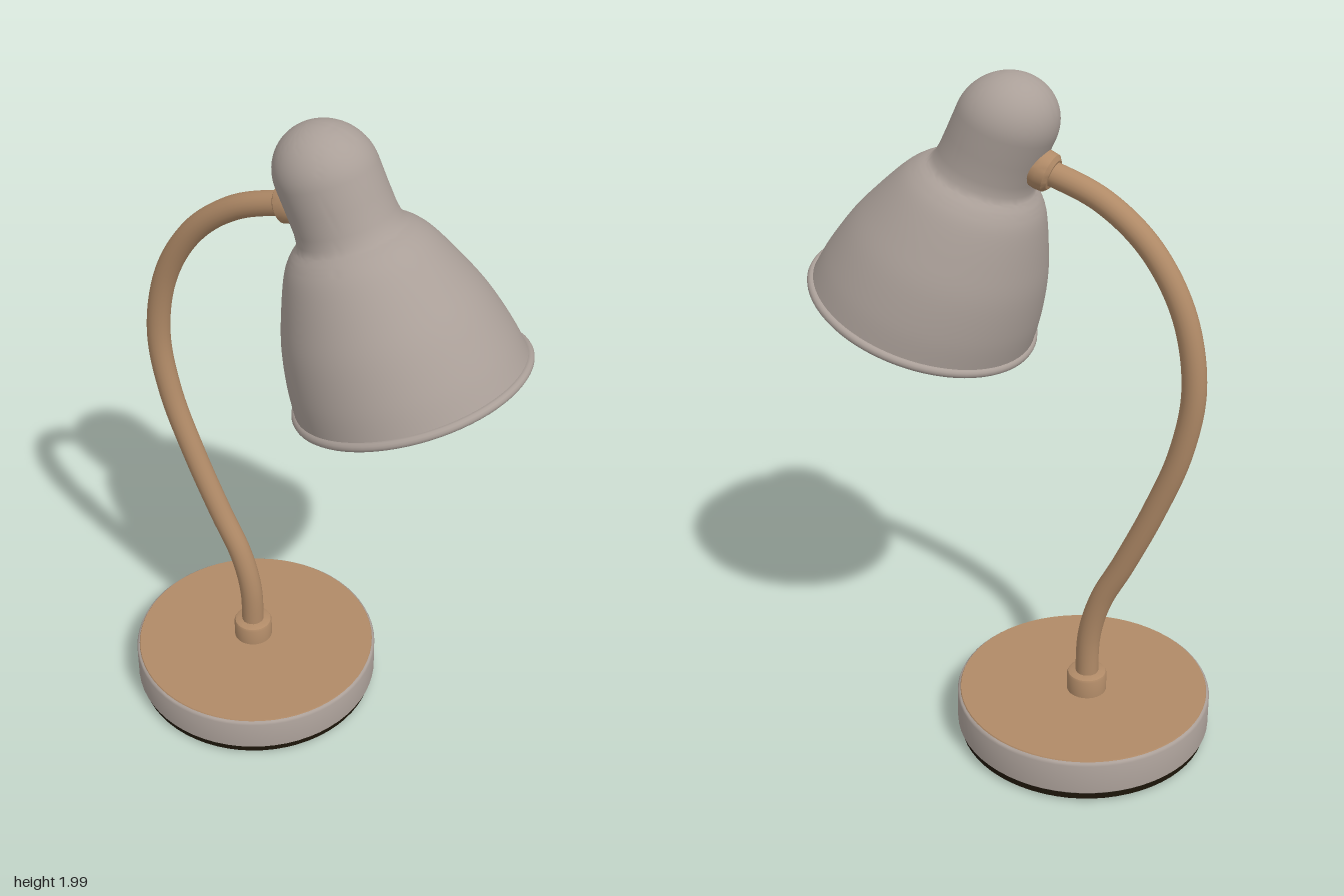
import * as THREE from 'three';
import { toCreasedNormals } from 'three/addons/utils/BufferGeometryUtils.js';

const paint = (name, color, side = THREE.FrontSide) => {
  const m = new THREE.MeshStandardMaterial({ color, side });
  m.name = name;
  return m;
};
const v2 = (pts) => pts.map(([x, y]) => new THREE.Vector2(x, y));

export function createModel() {
  const grey = paint('warm grey', 0xaa9f98, THREE.DoubleSide);
  const copper = paint('copper tan', 0xb08a67);
  const gold = paint('pale gold', 0xdebb8b, THREE.DoubleSide);
  const white = paint('bulb white', 0xd3d0cb);
  const black = paint('dark foot', 0x1c1509);

  const lamp = new THREE.Group();
  lamp.name = 'deskLamp';
  const add = (parent, name, geometry, material, x = 0, y = 0, z = 0) => {
    const mesh = new THREE.Mesh(geometry, material);
    mesh.name = name;
    mesh.position.set(x, y, z);
    parent.add(mesh);
    return mesh;
  };
  const lathe = (pts, seg = 64) => toCreasedNormals(new THREE.LatheGeometry(v2(pts), seg), 0.7);

  // Base: dark foot, grey rim, tan top plate
  const base = new THREE.Group();
  base.name = 'base';
  base.position.set(-0.225, 0, 0);
  lamp.add(base);
  add(base, 'foot', lathe([[0, 0], [0.36, 0], [0.369, 0.008], [0.369, 0.032], [0, 0.032]]), black);
  add(base, 'baseRim', lathe([[0.3, 0.028], [0.371, 0.028], [0.378, 0.035], [0.378, 0.128],
    [0.375, 0.135], [0.368, 0.139], [0.3, 0.139]]), grey);
  add(base, 'baseTop', lathe([[0.371, 0.136], [0.368, 0.141], [0, 0.141]]), copper);

  // Stem collar and curved arm
  const collar = [[0.059, 0], [0.059, 0.055], [0.056, 0.062], [0.048, 0.066], [0, 0.066]];
  add(lamp, 'stemCollar', lathe(collar, 32), copper, -0.24, 0.139, -0.01);
  const path = new THREE.CatmullRomCurve3([
    [-0.24, 0.15], [-0.245, 0.33], [-0.278, 0.46], [-0.345, 0.6], [-0.432, 0.8], [-0.502, 1.0],
    [-0.53, 1.2], [-0.49, 1.41], [-0.39, 1.577], [-0.257, 1.683], [-0.12, 1.734], [-0.03, 1.755],
  ].map(([x, y]) => new THREE.Vector3(x, y, -0.01)));
  add(lamp, 'arm', new THREE.TubeGeometry(path, 96, 0.034, 20), copper);

  // Ferrule joining arm to the shade neck
  const ferrule = add(lamp, 'ferrule', lathe([[0, -0.032], [0.042, -0.032], [0.053, -0.022],
    [0.055, 0], [0.053, 0.02], [0.046, 0.035], [0.04, 0.06], [0, 0.06]], 32), copper, -0.085, 1.744, -0.01);
  ferrule.rotation.z = -Math.PI / 2 + 0.33;

  // Head: origin at the rim centre, local y runs up the shade
  const head = new THREE.Group();
  head.name = 'head';
  head.position.set(0.28, 1.298, -0.01);
  head.rotation.z = 0.337;
  lamp.add(head);

  // The shade leans slightly against its rim plane
  const lean = new THREE.Matrix4().set(1, -0.095, 0, 0, 0, 1, 0, 0, 0, 0, 1, 0, 0, 0, 0, 1);
  const bell = new THREE.SplineCurve(v2([[0.324, 0], [0.312, 0.09], [0.285, 0.2], [0.25, 0.29],
    [0.208, 0.38], [0.178, 0.422], [0.15, 0.446]])).getPoints(36).map((p) => [p.x, p.y]);
  const dome = [];
  for (let i = 0; i <= 16; i++) {
    const a = (i / 16) * Math.PI / 2;
    dome.push([0.137 * Math.cos(a), 0.618 + 0.135 * Math.sin(a)]);
  }
  const shade = new THREE.LatheGeometry(v2([...bell, [0.142, 0.462], [0.138, 0.49], [0.137, 0.55], ...dome]), 72);
  add(head, 'shade', toCreasedNormals(shade.applyMatrix4(lean), 0.8), grey);

  const lining = new THREE.LatheGeometry(v2([...bell.map(([r, y]) => [r - 0.012, y - 0.008]), [0, 0.44]]), 72);
  add(head, 'shadeLining', lining.applyMatrix4(lean), gold);

  const bead = add(head, 'shadeRim', new THREE.TorusGeometry(0.322, 0.013, 12, 72), grey);
  bead.rotation.x = Math.PI / 2;

  // Bulb
  add(head, 'bulb', new THREE.SphereGeometry(0.173, 40, 28), white, -0.018, 0.19, 0);

  return lamp;
}
